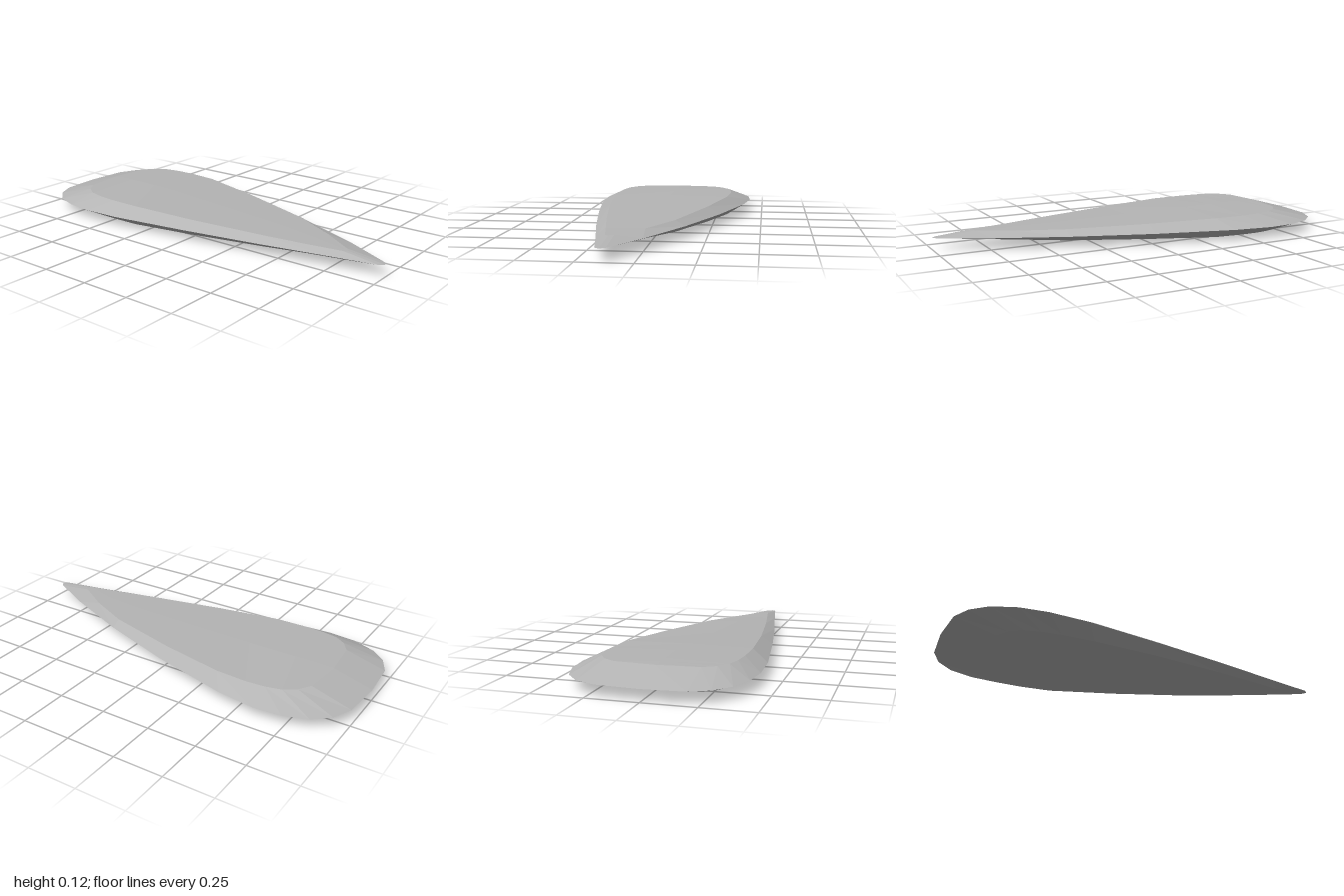
import * as THREE from 'three';

// Stations from the blunt end to the tip:
// rim x, rim back z, rim front z, face x, face back z, face front z, face half height, crown
const STATIONS = [
  [-1.0, 0, 0, -0.8, 0, 0, 0.055, 0],
  [-0.985, -0.21, 0.2, -0.78, -0.2, 0.2, 0.054, 0.002],
  [-0.94, -0.31, 0.29, -0.74, -0.26, 0.26, 0.053, 0.004],
  [-0.86, -0.38, 0.36, -0.68, -0.3, 0.3, 0.052, 0.006],
  [-0.74, -0.42, 0.405, -0.6, -0.317, 0.317, 0.051, 0.007],
  [-0.6, -0.43, 0.42, -0.5, -0.322, 0.325, 0.05, 0.007],
  [-0.4, -0.4, 0.41, -0.34, -0.31, 0.325, 0.049, 0.005],
  [0, -0.29, 0.35, 0, -0.225, 0.29, 0.039, 0.003],
  [0.4, -0.15, 0.28, 0.4, -0.1, 0.23, 0.028, 0.002],
  [0.75, 0.0, 0.21, 0.62, 0.01, 0.19, 0.022, 0.001],
  [0.98, 0.12, 0.167, 0.79, 0.12, 0.16, 0.02, 0],
  [0.998, 0.145, 0.145, 0.81, 0.143, 0.143, 0.019, 0],
];
const MID = 0.06;

// Eight-point bevelled section running back rim, top, front rim, underside
function section([rx, rb, rf, fx, fb, ff, h, crown]) {
  const mid = (fb + ff) / 2;
  return [
    [rx, MID, rb],
    [fx, MID + h, fb], [fx, MID + h + crown, mid], [fx, MID + h, ff],
    [rx, MID, rf],
    [fx, MID - h, ff], [fx, MID - h - crown, mid], [fx, MID - h, fb],
  ];
}

function loft(sections) {
  const n = sections[0].length;
  const index = [];
  for (let i = 0; i < sections.length - 1; i++) {
    for (let k = 0; k < n; k++) {
      const a = i * n + k, b = i * n + ((k + 1) % n);
      index.push(a, b, b + n, a, b + n, a + n);
    }
  }
  const geometry = new THREE.BufferGeometry();
  geometry.setAttribute('position', new THREE.Float32BufferAttribute(sections.flat(2), 3));
  geometry.setIndex(index);
  geometry.computeVertexNormals();
  return geometry;
}

export function createModel() {
  const group = new THREE.Group();
  group.name = 'bevelledBlade';
  const stone = new THREE.MeshStandardMaterial({ color: 0xb4b4b4 });
  stone.name = 'stone grey';
  stone.flatShading = true;

  // Teardrop body with a sharp rim and nearly flat faces
  const blade = new THREE.Mesh(loft(STATIONS.map(section)), stone);
  blade.name = 'blade';
  group.add(blade);
  return group;
}
